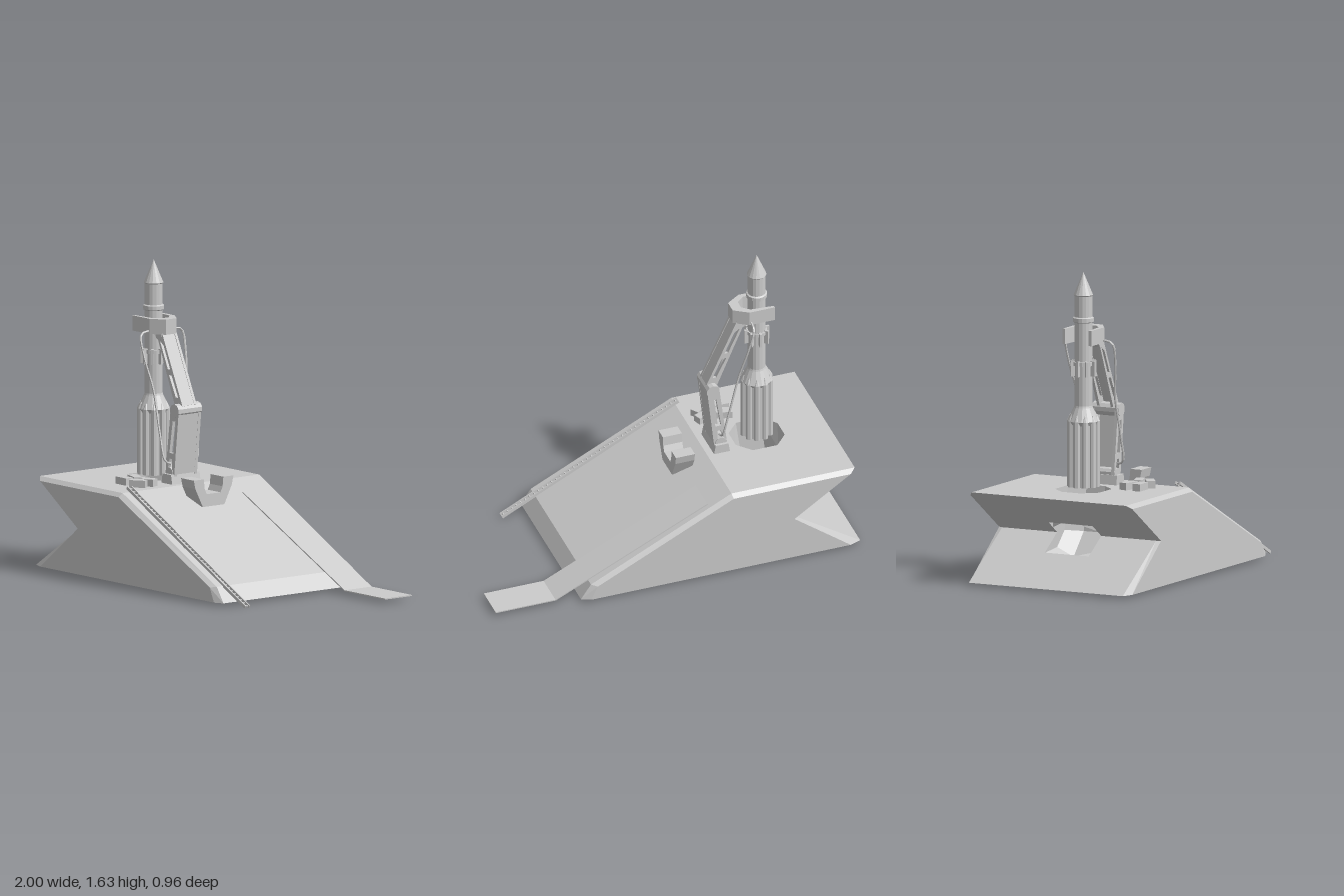
import * as THREE from 'three';

const mat = new THREE.MeshStandardMaterial({ color: 0xcccccc, flatShading: true, side: THREE.DoubleSide });
const V2 = (p) => new THREE.Vector2(p[0], p[1]);

export function createModel() {
  const root = new THREE.Group();

  function add(name, geo, x = 0, y = 0, z = 0, parent = root) {
    const m = new THREE.Mesh(geo, mat);
    m.name = name;
    m.position.set(x, y, z);
    parent.add(m);
    return m;
  }
  const box = (name, w, h, d, x, y, z, parent) => add(name, new THREE.BoxGeometry(w, h, d), x, y, z, parent);

  function shape(points, holes = []) {
    const s = new THREE.Shape(points.map(V2));
    for (const h of holes) s.holes.push(new THREE.Path(h.map(V2)));
    return s;
  }
  // Flat outline laid into space by a rule (u, v) -> [x, y, z]
  function panel(name, points, place, holes, parent) {
    const g = new THREE.ShapeGeometry(shape(points, holes));
    const p = g.attributes.position;
    for (let i = 0; i < p.count; i++) p.setXYZ(i, ...place(p.getX(i), p.getY(i)));
    g.computeVertexNormals();
    return add(name, g, 0, 0, 0, parent);
  }
  // Skin between rows of points
  function skin(name, rows, parent) {
    const pos = [], idx = [], n = rows[0].length;
    rows.forEach((r) => r.forEach((p) => pos.push(...p)));
    for (let i = 0; i < rows.length - 1; i++) {
      for (let j = 0; j < n - 1; j++) {
        const a = i * n + j, b = a + n;
        idx.push(a, a + 1, b, b, a + 1, b + 1);
      }
    }
    const g = new THREE.BufferGeometry();
    g.setAttribute('position', new THREE.Float32BufferAttribute(pos, 3));
    g.setIndex(idx);
    g.computeVertexNormals();
    return add(name, g, 0, 0, 0, parent);
  }
  // Outline in x, y extruded along z around zc
  function plate(name, points, depth, zc, holes, parent) {
    const g = new THREE.ExtrudeGeometry(shape(points, holes), { depth, bevelEnabled: false });
    return add(name, g, 0, 0, zc - depth / 2, parent);
  }
  // Straight bar between two points of the x, y plane
  function bar(name, a, b, thick, width, z, parent) {
    const m = box(name, Math.hypot(b[0] - a[0], b[1] - a[1]), thick, width, (a[0] + b[0]) / 2, (a[1] + b[1]) / 2, z, parent);
    m.rotation.z = Math.atan2(b[1] - a[1], b[0] - a[0]);
    return m;
  }

  // ---- Hollow base: bevelled shell, open underneath ----
  const base = new THREE.Group();
  base.name = 'base';
  root.add(base);
  const zi = 0.455, zo = 0.478;
  const [A, B, C, D, E, F] = [[-1, 0.02], [-0.64, 0.26], [-0.97, 0.49], [-0.29, 0.49], [0.485, 0.1], [0.54, 0.02]];
  const inner = [A, B, C, D, E, F];
  const side = [[-0.94, 0.02], [-0.63, 0.26], [-0.94, 0.47], [-0.295, 0.47], [0.455, 0.095], [0.49, 0.02]];
  for (const s of [-1, 1]) {
    panel('sideWall', side, (x, y) => [x, y, s * zo], [], base);
    skin('bevel', [inner.map((p) => [p[0], p[1], s * zi]), side.map((p) => [p[0], p[1], s * zo])], base);
  }
  const cx = -0.595, r = 0.135;
  const octagon = [];
  for (const [sx, sz] of [[1, 1], [-1, 1], [-1, -1], [1, -1]]) {
    const near = [cx + sx * r, sz * 0.055], far = [cx + sx * r / 2, sz * 0.13];
    octagon.push(...(sx * sz > 0 ? [near, far] : [far, near]));
  }
  panel('deck', [[C[0], -zi], [D[0], -zi], [D[0], zi], [C[0], zi]], (x, z) => [x, 0.49, z], [octagon], base);
  skin('slopeAndFoot', [-zi, zi].map((z) => [D, E, F].map((p) => [p[0], p[1], z])), base);
  // Notch faces, cut open where the flame trench passes
  for (const [end, cut] of [[C, 0.28], [A, 0.37]]) {
    panel('notchFace', [[-zi, 0], [-0.13, 0], [-0.13, cut], [0.13, cut], [0.13, 0], [zi, 0], [zi, 1], [-zi, 1]],
      (z, t) => [B[0] + (end[0] - B[0]) * t, B[1] + (end[1] - B[1]) * t, z], [], base);
  }
  // Flame trench: half octagon sections, each with a rim point and a floor point
  const section = [[-0.13, 0], [-0.13, 0.5], [-0.055, 1], [0.055, 1], [0.13, 0.5], [0.13, 0]];
  const trench = (stations) => skin('flameTrench', stations.map(([rim, floor]) =>
    section.map(([z, d]) => [rim[0] + (floor[0] - rim[0]) * d, rim[1] + (floor[1] - rim[1]) * d, z])), base);
  trench([[[cx, 0.49], [cx + r, 0.49]], [[-0.63, 0.27], [-0.49, 0.25]], [[-0.68, 0.233], [-0.6, 0.13]], [[-0.773, 0.172], [-0.773, 0.168]]]);
  trench([[[cx, 0.49], [cx - r, 0.49]], [[-0.64, 0.26], [-0.735, 0.325]]]);

  // ---- Access ramp ----
  bar('rampSlope', [-0.17, 0.434], [0.67, 0.028], 0.006, 0.18, -0.338);
  box('rampLanding', 0.33, 0.006, 0.18, 0.835, 0.028, -0.338);

  // ---- Ladder rail down the slope ----
  const r0 = [-0.305, 0.512], r1 = [0.668, 0.011];
  for (const z of [0.386, 0.412]) bar('rail', r0, r1, 0.016, 0.007, z);
  for (let i = 0; i < 40; i++) {
    const t = (i + 0.5) / 40;
    box('rung', 0.007, 0.007, 0.026, r0[0] + (r1[0] - r0[0]) * t, r0[1] + (r1[1] - r0[1]) * t, 0.399);
  }

  // ---- Rocket ----
  const rocket = new THREE.Group();
  rocket.name = 'rocket';
  rocket.position.x = cx;
  root.add(rocket);
  const profile = [[0, 0.505], [0.072, 0.505], [0.072, 0.83], [0.084, 0.85], [0.05, 0.92], [0.047, 0.93], [0.047, 1.365],
    [0.055, 1.37], [0.055, 1.39], [0.047, 1.395], [0.047, 1.505], [0.051, 1.51], [0, 1.63]];
  add('rocketBody', new THREE.LatheGeometry(profile.map(V2), 16), 0, 0, 0, rocket);
  for (let i = 0; i < 10; i++) {
    const a = (i / 10) * Math.PI * 2;
    add('boosterRib', new THREE.CylinderGeometry(0.018, 0.018, 0.345, 8), 0.07 * Math.cos(a), 0.678, 0.07 * Math.sin(a), rocket);
    add('boosterTip', new THREE.ConeGeometry(0.018, 0.035, 8), 0.07 * Math.cos(a), 0.868, 0.07 * Math.sin(a), rocket);
  }
  add('collar', new THREE.CylinderGeometry(0.055, 0.055, 0.02, 16), 0, 1.15, 0, rocket);
  for (let i = 0; i < 8; i++) {
    const a = (i / 8) * Math.PI * 2;
    const fin = box('steeringFin', 0.022, 0.08, 0.012, 0.057 * Math.cos(a), 1.125, 0.057 * Math.sin(a), rocket);
    fin.rotation.y = -a;
  }

  // ---- Clamp around the rocket, open at the back ----
  const half = [[-0.665, 0.085], [-0.525, 0.085], [-0.45, 0.035]];
  const innerHalf = [[-0.5, 0.025], [-0.54, 0.06], [-0.665, 0.07]];
  const flip = (list) => list.map(([x, z]) => [x, -z]).reverse();
  const clampGeo = new THREE.ExtrudeGeometry(shape([...half, ...flip(half), ...flip(innerHalf), ...innerHalf]),
    { depth: 0.08, bevelEnabled: false });
  clampGeo.rotateX(Math.PI / 2);
  add('clamp', clampGeo, 0, 1.335, 0);

  // ---- Jointed support arm: holed side plates with an outer web ----
  const arm = new THREE.Group();
  arm.name = 'supportArm';
  root.add(arm);
  const upper = [[-0.52, 1.27], [-0.47, 1.27], [-0.3, 0.9], [-0.355, 0.88]];
  const upperHoles = [[[-0.485, 1.22], [-0.455, 1.2], [-0.4, 1.08], [-0.42, 1.08]], [[-0.41, 1.05], [-0.385, 1.05], [-0.335, 0.94], [-0.355, 0.94]]];
  const lower = [[-0.362, 0.88], [-0.295, 0.88], [-0.333, 0.53], [-0.405, 0.53]];
  const lowerHoles = [[[-0.345, 0.82], [-0.32, 0.82], [-0.34, 0.65], [-0.372, 0.65]], [[-0.37, 0.62], [-0.352, 0.62], [-0.35, 0.55], [-0.39, 0.55]]];
  for (const s of [-1, 1]) {
    plate('upperArmSide', upper, 0.015, s * 0.04, upperHoles, arm);
    plate('lowerArmSide', lower, 0.018, s * 0.067, lowerHoles, arm);
  }
  bar('upperArmWeb', [-0.475, 1.26], [-0.307, 0.9], 0.01, 0.08, 0, arm);
  bar('lowerArmWeb', [-0.302, 0.88], [-0.337, 0.54], 0.01, 0.13, 0, arm);
  for (const [name, rad, len, x, y] of [['elbow', 0.036, 0.158, -0.328, 0.875], ['wrist', 0.025, 0.1, -0.495, 1.25], ['ankle', 0.03, 0.16, -0.37, 0.545]]) {
    add(name, new THREE.CylinderGeometry(rad, rad, len, 10), x, y, 0, arm).rotation.x = Math.PI / 2;
  }
  plate('armFoot', [[-0.415, 0.485], [-0.325, 0.485], [-0.335, 0.54], [-0.405, 0.54]], 0.19, 0, [], arm);

  // ---- Hoses from the clamp to the foot ----
  for (const s of [-1, 1]) {
    const pts = [[0.075, 1.27], [0.135, 1.255], [0.138, 1.14], [0.112, 0.97], [0.115, 0.75], [0.108, 0.61], [0.075, 0.595]]
      .map(([z, y]) => new THREE.Vector3(-0.535 + (1.27 - y) * 0.255, y, s * z));
    add('hose', new THREE.TubeGeometry(new THREE.CatmullRomCurve3(pts), 32, 0.006, 6));
  }

  // ---- Cradle on the slope ----
  const cradleHalf = [[0.132, 0.545], [0.122, 0.5], [0.072, 0.4]];
  const cradleInner = [[0.046, 0.465], [0.06, 0.495], [0.065, 0.545]];
  const cradleGeo = new THREE.ExtrudeGeometry(shape([...cradleHalf, ...flipX(cradleHalf), ...flipX(cradleInner), ...cradleInner]),
    { depth: 0.105, bevelEnabled: false });
  cradleGeo.rotateY(Math.PI / 2);
  add('cradle', cradleGeo, -0.207, 0, 0);

  // ---- Crates on the deck ----
  for (const [x, z, turn] of [[-0.49, 0.21, -0.28], [-0.38, 0.213, 0.35], [-0.493, 0.28, 0], [-0.38, 0.277, 0.6]]) {
    box('crate', 0.088, 0.038, 0.046, x, 0.51, z).rotation.y = turn;
  }
  return root;
}

// Mirror a half outline across its first axis
function flipX(list) {
  return list.map(([u, v]) => [-u, v]).reverse();
}
